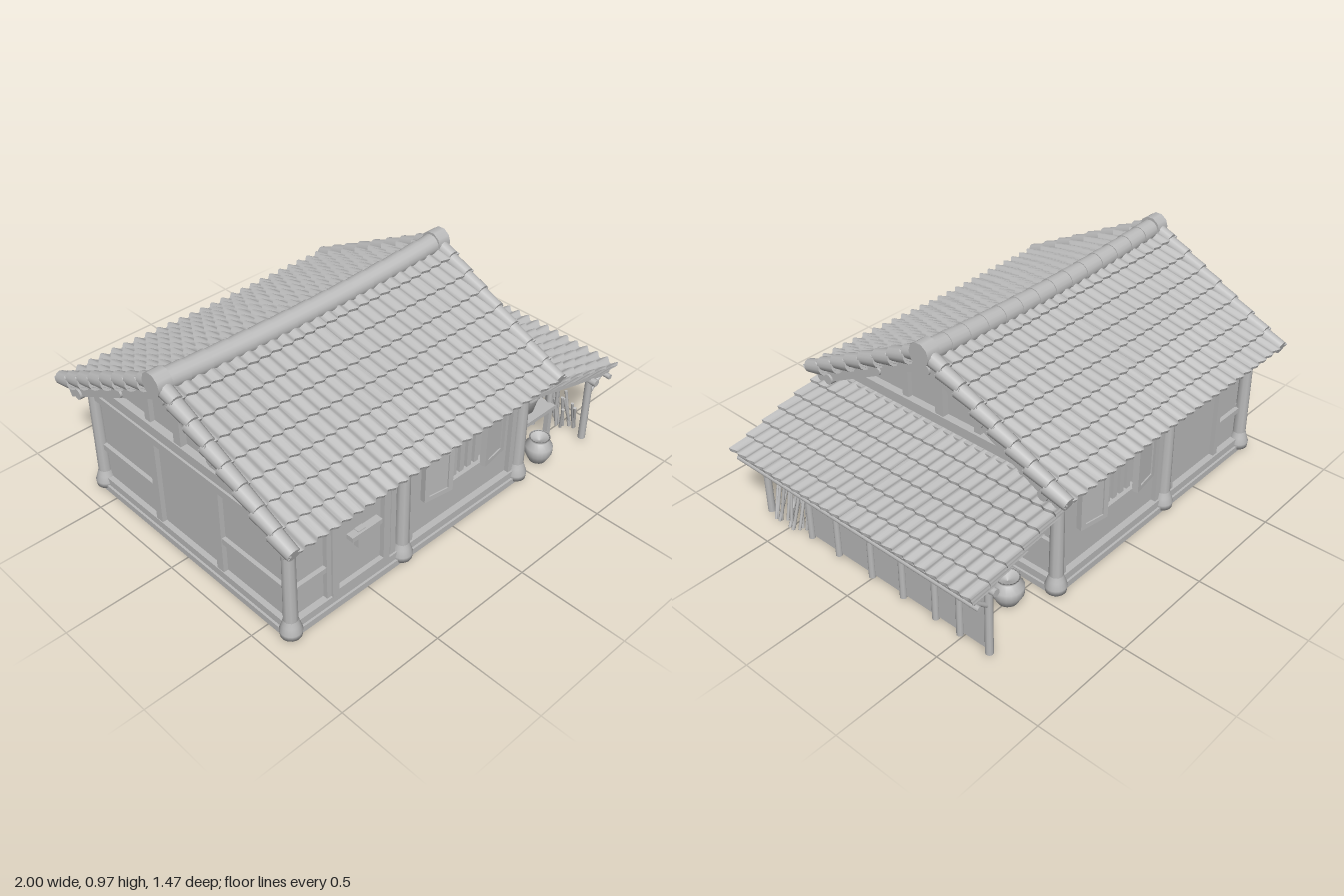
import * as THREE from 'three';
import { toCreasedNormals } from 'three/addons/utils/BufferGeometryUtils.js';

const clay = new THREE.MeshStandardMaterial({ color: 0xbbbbbb, side: THREE.DoubleSide });
clay.name = 'clay grey';
const CX = -0.225;           // middle of the main house along x
const PITCH = 0.48, LEAN = 0.258;

function add(parent, name, geometry, x = 0, y = 0, z = 0) {
  const m = new THREE.Mesh(geometry, clay);
  m.name = name;
  m.position.set(x, y, z);
  parent.add(m);
  return m;
}

// Box given by its limits
function block(parent, name, x0, x1, y0, y1, z0, z1) {
  return add(parent, name, new THREE.BoxGeometry(x1 - x0, y1 - y0, z1 - z0),
    (x0 + x1) / 2, (y0 + y1) / 2, (z0 + z1) / 2);
}

// Round pole between two points
function pole(parent, name, a, b, r, r2 = r) {
  const A = new THREE.Vector3(...a), B = new THREE.Vector3(...b);
  const d = B.clone().sub(A);
  const m = add(parent, name, new THREE.CylinderGeometry(r2, r, d.length(), 10));
  m.position.copy(A).addScaledVector(d, 0.5);
  m.quaternion.setFromUnitVectors(new THREE.Vector3(0, 1, 0), d.normalize());
  return m;
}

function lathe(parent, name, points, x, y, z) {
  return add(parent, name, new THREE.LatheGeometry(points.map(p => new THREE.Vector2(...p)), 20), x, y, z);
}

// One overlapping course of wavy tiles, running from z0 down to z1
function tileCourse(width, waves, z0, z1, lift, seed, sagAt) {
  const g = new THREE.PlaneGeometry(width, 1, waves * 8, 3), p = g.attributes.position;
  const cols = waves * 8 + 1;
  for (let i = 0; i < p.count; i++) {
    const row = Math.floor(i / cols), x = p.getX(i), u = x / width + 0.5;
    const lower = row === 1 || row === 2;
    const wave = Math.cos(u * waves * Math.PI * 2);
    const tile = Math.floor(u * waves);
    const wobble = 0.003 * Math.sin(tile * 12.9 + seed * 7.3);
    const z = lower ? z1 + 0.007 * wave + wobble : z0;
    const y = (lower ? lift + wobble : 0) + 0.008 * wave - (row > 1 ? 0.018 : 0);
    p.setXYZ(i, x, y - sagAt(u, z), z);
  }
  return toCreasedNormals(g, 0.8);
}

// A tiled slope whose local +z runs downhill
function slope(parent, name, width, length, rows, waves, lift, sagAt) {
  const s = new THREE.Group();
  s.name = name;
  s.rotation.order = 'YXZ';
  for (let i = 0; i < rows; i++) {
    const step = length / rows;
    add(s, 'tileCourse', tileCourse(width, waves, i * step - 0.012, (i + 1) * step, lift, i, sagAt));
  }
  parent.add(s);
  return s;
}

function mainRoof(g) {
  const sag = u => 0.026 * (1 - (2 * u - 1) ** 2);
  for (const turn of [0, Math.PI]) {
    const s = slope(g, 'roofSlope', 1.53, 0.8, 8, 26, 0.03, (u, z) => sag(u) * Math.max(0, 1 - z / 0.5));
    s.position.set(CX, 0.905, 0);
    s.rotation.set(PITCH, turn, 0);
    block(s, 'roofDeck', -0.73, 0.73, -0.045, -0.03, 0.01, 0.78);
    // Raised verge tiles, barge boards and rafters
    for (const side of [-1, 1]) {
      for (let i = 0; i < 8; i++) {
        const cap = add(s, 'vergeTile', new THREE.CylinderGeometry(0.03, 0.036, 0.108, 12),
          side * 0.737, 0.013, i * 0.1 + 0.05);
        cap.rotation.x = Math.PI / 2 + 0.2;
        cap.rotation.x = Math.PI / 2 - 0.18;
      }
      block(s, 'bargeBoard', side * 0.715 - 0.02, side * 0.715 + 0.02, -0.065, -0.012, 0, 0.78);
    }
    for (let i = 0; i < 12; i++) {
      const x = -0.64 + i * 0.116;
      block(s, 'rafter', x - 0.012, x + 0.012, -0.065, -0.04, 0.02, 0.77);
    }
  }
  // Sagging ridge of overlapping round tiles
  for (let i = 0; i < 14; i++) {
    const u = (i + 0.5) / 14;
    const t = add(g, 'ridgeTile', new THREE.CylinderGeometry(0.044, 0.048, 0.116, 16),
      CX + (u - 0.5) * 1.46, 0.912 - sag(u), 0);
    t.rotation.z = Math.PI / 2 - 0.07 * (1 - 2 * u);
  }
  for (const x of [-0.965, 0.515])
    pole(g, 'ridgeEnd', [x - 0.033, 0.916, 0], [x + 0.033, 0.916, 0], 0.053);
  // Purlins carrying the overhang
  for (const [y, z, r] of [[0.835, 0, 0.026], [0.71, 0.28, 0.018], [0.71, -0.28, 0.018], [0.535, 0.6, 0.025], [0.535, -0.6, 0.025]])
    pole(g, 'purlin', [-0.97, y, z], [0.52, y, z], r);
}

// Barred window with open shutters, built facing +z
function windowUnit(w) {
  block(w, 'windowRecess', -0.05, 0.17, 0.25, 0.45, 0.575, 0.582);
  for (const y of [0.245, 0.445]) block(w, 'windowRail', -0.07, 0.19, y - 0.012, y + 0.012, 0.57, 0.62);
  for (let i = 0; i < 5; i++) {
    const x = -0.03 + i * 0.045;
    block(w, 'windowBar', x - 0.013, x + 0.013, 0.25, 0.45, 0.585, 0.602);
  }
  for (const x of [-0.11, 0.23]) {
    const s = new THREE.Group();
    s.name = 'shutter';
    s.position.set(x, 0.35, 0.62);
    s.rotation.y = x < 0 ? -0.15 : 0.15;
    block(s, 'shutterPanel', -0.06, 0.06, -0.095, 0.095, -0.008, 0.008);
    for (const e of [-1, 1]) {
      block(s, 'shutterStile', e * 0.06 - 0.012, e * 0.06 + 0.012, -0.108, 0.108, -0.014, 0.014);
      block(s, 'shutterRail', -0.06, 0.06, e * 0.097 - 0.011, e * 0.097 + 0.011, -0.014, 0.014);
    }
    w.add(s);
  }
}

function longWall(g, front) {
  const w = new THREE.Group();
  w.name = front ? 'frontWall' : 'backWall';
  w.scale.z = front ? 1 : -1;
  g.add(w);
  // Round posts on flared foot stones
  for (const x of [-0.89, -0.29, 0.43]) {
    pole(w, 'post', [x, 0.02, 0.605], [x, 0.54, 0.605], 0.031, 0.027);
    lathe(w, 'postFoot', [[0, 0], [0.044, 0.004], [0.047, 0.03], [0.037, 0.06], [0.03, 0.085]], x, 0.01, 0.605);
  }
  block(w, 'sill', -0.89, 0.43, 0.025, 0.065, 0.57, 0.615);
  block(w, 'headBeam', -0.89, 0.43, 0.495, 0.53, 0.57, 0.615);
  for (const x of [-0.69, -0.345, -0.245, 0.385]) block(w, 'stud', x - 0.014, x + 0.014, 0.05, 0.5, 0.57, 0.607);
  block(w, 'sideRail', -0.87, -0.69, 0.205, 0.23, 0.57, 0.605);
  windowUnit(w);
  if (!front) return;
  // Door with frame and latch
  for (const x of [-0.665, -0.39]) block(w, 'doorStile', x - 0.017, x + 0.017, 0.06, 0.495, 0.58, 0.617);
  for (const y of [0.072, 0.482]) block(w, 'doorRail', -0.665, -0.39, y - 0.016, y + 0.016, 0.58, 0.617);
  block(w, 'doorPanel', -0.65, -0.4, 0.07, 0.48, 0.575, 0.595);
  block(w, 'latchBar', -0.59, -0.43, 0.3, 0.322, 0.595, 0.63);
  block(w, 'latchPlate', -0.55, -0.51, 0.24, 0.325, 0.595, 0.62);
}

function gableWall(g, x, out) {
  const w = new THREE.Group();
  w.name = 'gableWall';
  w.position.x = x;
  w.scale.x = out;
  g.add(w);
  block(w, 'sill', -0.02, 0.025, 0.025, 0.065, -0.6, 0.6);
  block(w, 'midBeam', -0.02, 0.025, 0.48, 0.515, -0.6, 0.6);
  block(w, 'tieBeam', -0.02, 0.035, 0.545, 0.59, -0.61, 0.61);
  for (const z of [-0.2, 0.2]) {
    block(w, 'stud', -0.02, 0.022, 0.04, 0.5, z - 0.02, z + 0.02);
    block(w, 'gableStud', -0.02, 0.022, 0.57, 0.76, z - 0.017, z + 0.017);
    const end = Math.sign(z);
    block(w, 'sideRail', -0.02, 0.018, 0.215, 0.245, Math.min(z, end * 0.59), Math.max(z, end * 0.59));
  }
  block(w, 'kingPost', -0.02, 0.03, 0.57, 0.85, -0.022, 0.022);
}

function leanTo(g) {
  const s = slope(g, 'leanToRoof', 1.38, 0.562, 6, 24, 0.02, () => 0);
  s.position.set(0.44, 0.51, 0);
  s.rotation.set(LEAN, Math.PI / 2, 0);
  block(s, 'leanToDeck', -0.67, 0.67, -0.032, -0.02, 0, 0.55);
  for (let i = 0; i < 9; i++) {
    const x = -0.64 + i * 0.16;
    block(s, 'leanToRafter', x - 0.014, x + 0.014, -0.055, -0.03, 0, 0.54);
  }
  pole(g, 'leanToBeam', [0.86, 0.335, -0.68], [0.86, 0.335, 0.68], 0.017);
  pole(g, 'eavePole', [0.955, 0.325, -0.685], [0.955, 0.325, 0.685], 0.012);
  for (const z of [-0.64, 0.64]) {
    pole(g, 'cornerPost', [0.86, 0.01, z], [0.86, 0.36, z], 0.017);
    pole(g, 'brace', [0.86, 0.25, z], [0.955, 0.335, z], 0.01);
  }
  // Outer plank wall and its posts
  block(g, 'plankWall', 0.845, 0.857, 0.02, 0.335, -0.635, 0.38);
  for (const z of [0.37, 0.2, 0, -0.18, -0.36, -0.49])
    pole(g, 'wallPost', [0.862, 0.01, z], [0.862, 0.345, z], 0.015);
  for (const z of [0.52, 0.6]) pole(g, 'innerPost', [0.775, 0.01, z - 0.1], [0.775, 0.4, z - 0.1], 0.014);
}

const jar = [[0, 0], [0.04, 0], [0.062, 0.045], [0.062, 0.08], [0.04, 0.108], [0.038, 0.118], [0.048, 0.125], [0.04, 0.122], [0, 0.1]];
const tub = [[0, 0], [0.06, 0], [0.078, 0.075], [0.084, 0.08], [0.08, 0.088], [0.07, 0.078], [0, 0.05]];

function stores(g) {
  // Table with a tub, and a jar in front of it
  block(g, 'tableTop', 0.52, 0.77, 0.165, 0.185, 0.2, 0.54);
  for (const x of [0.54, 0.75]) for (const z of [0.22, 0.52])
    block(g, 'tableLeg', x - 0.012, x + 0.012, 0.01, 0.17, z - 0.012, z + 0.012);
  lathe(g, 'tub', tub, 0.645, 0.185, 0.44);
  lathe(g, 'jar', jar, 0.59, 0.015, 0.6);
  // Jars and tubs kept towards the back
  for (const [x, z, k] of [[0.6, -0.5, 1.1], [0.75, -0.4, 1], [0.57, -0.33, 1], [0.72, -0.22, 1.1], [0.57, -0.15, 0.9], [0.7, -0.03, 0.9]])
    lathe(g, 'storedJar', jar, x, 0.01, z).scale.set(k, k * 0.9, k);
  // Firewood leaning by the open corner
  for (let i = 0; i < 16; i++) {
    const z = 0.42 + (i % 8) * 0.022, x = 0.83 + 0.06 * Math.abs(Math.sin(i * 2.4));
    pole(g, 'firewood', [x, 0.015, z], [x - 0.04 + 0.02 * Math.sin(i * 5), 0.13 + 0.09 * Math.abs(Math.sin(i * 1.7)), z + 0.04 * Math.sin(i * 3.1)], 0.007);
  }
  for (let i = 0; i < 5; i++)
    pole(g, 'hangingStick', [0.82, 0.15, 0.41 + i * 0.025], [0.8, 0.32, 0.4 + i * 0.03], 0.008);
}

export function createModel() {
  const g = new THREE.Group();
  g.name = 'tiledCottage';
  // Floor, plaster infill and gable infill
  block(g, 'floor', -0.915, 0.455, 0, 0.03, -0.625, 0.625);
  block(g, 'wallInfill', -0.88, 0.42, 0.02, 0.55, -0.585, 0.585);
  const tri = new THREE.Shape([[-0.62, 0.53], [0.62, 0.53], [0, 0.855]].map(p => new THREE.Vector2(...p)));
  add(g, 'gableInfill', new THREE.ExtrudeGeometry(tri, { depth: 1.3, bevelEnabled: false }), -0.88).rotation.y = Math.PI / 2;
  g.getObjectByName('gableInfill').position.x = -0.88;
  longWall(g, true);
  longWall(g, false);
  gableWall(g, 0.42, 1);
  gableWall(g, -0.88, -1);
  mainRoof(g);
  leanTo(g);
  stores(g);
  return g;
}
